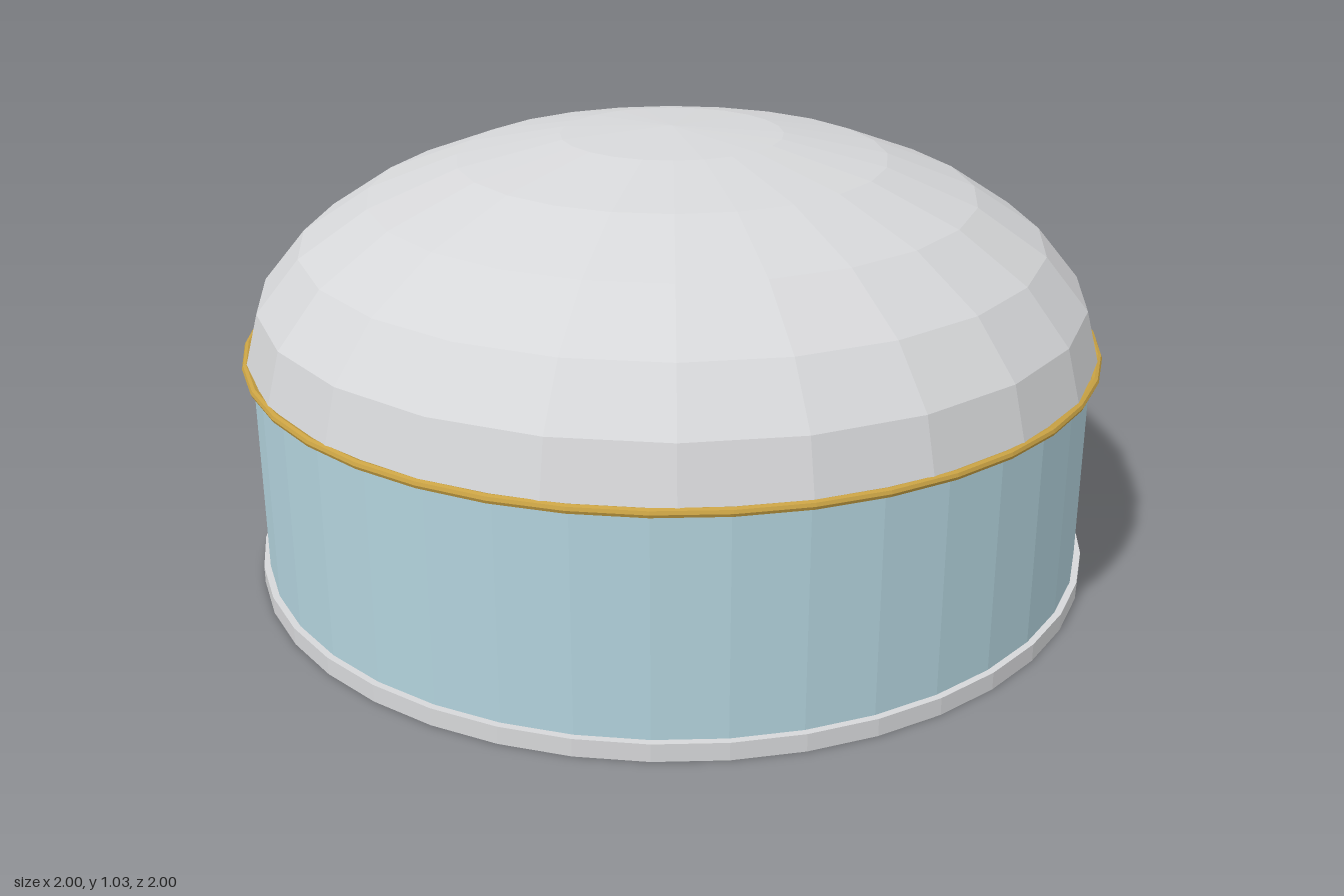
import * as THREE from 'three';

function material(name, color, extra = {}) {
  const m = new THREE.MeshStandardMaterial({ color, flatShading: true, ...extra });
  m.name = name;
  return m;
}

export function createModel() {
  const model = new THREE.Group();
  model.name = 'domedPavilion';

  const grey = material('pale grey', 0xd6d7d9, { side: THREE.DoubleSide });
  const blue = material('pale blue', 0xb2d2dc);
  const gold = material('gold', 0xc9a244);

  function add(name, geometry, mat, y) {
    const mesh = new THREE.Mesh(geometry, mat);
    mesh.name = name;
    mesh.position.y = y;
    model.add(mesh);
    return mesh;
  }

  // Thin base slab
  add('base', new THREE.CylinderGeometry(0.99, 0.99, 0.04, 40), grey, 0.02);

  // Round wall
  add('wall', new THREE.CylinderGeometry(0.975, 0.975, 0.495, 40), blue, 0.2875);

  // Flattened faceted dome
  const dome = new THREE.SphereGeometry(0.99, 24, 6, 0, Math.PI * 2, 0, Math.PI / 2);
  dome.scale(1, 0.5, 1);
  add('dome', dome, grey, 0.535);

  // Trim ring where the dome meets the wall
  const ring = new THREE.TorusGeometry(0.988, 0.01, 8, 40);
  ring.rotateX(Math.PI / 2);
  add('trimRing', ring, gold, 0.537);

  return model;
}
